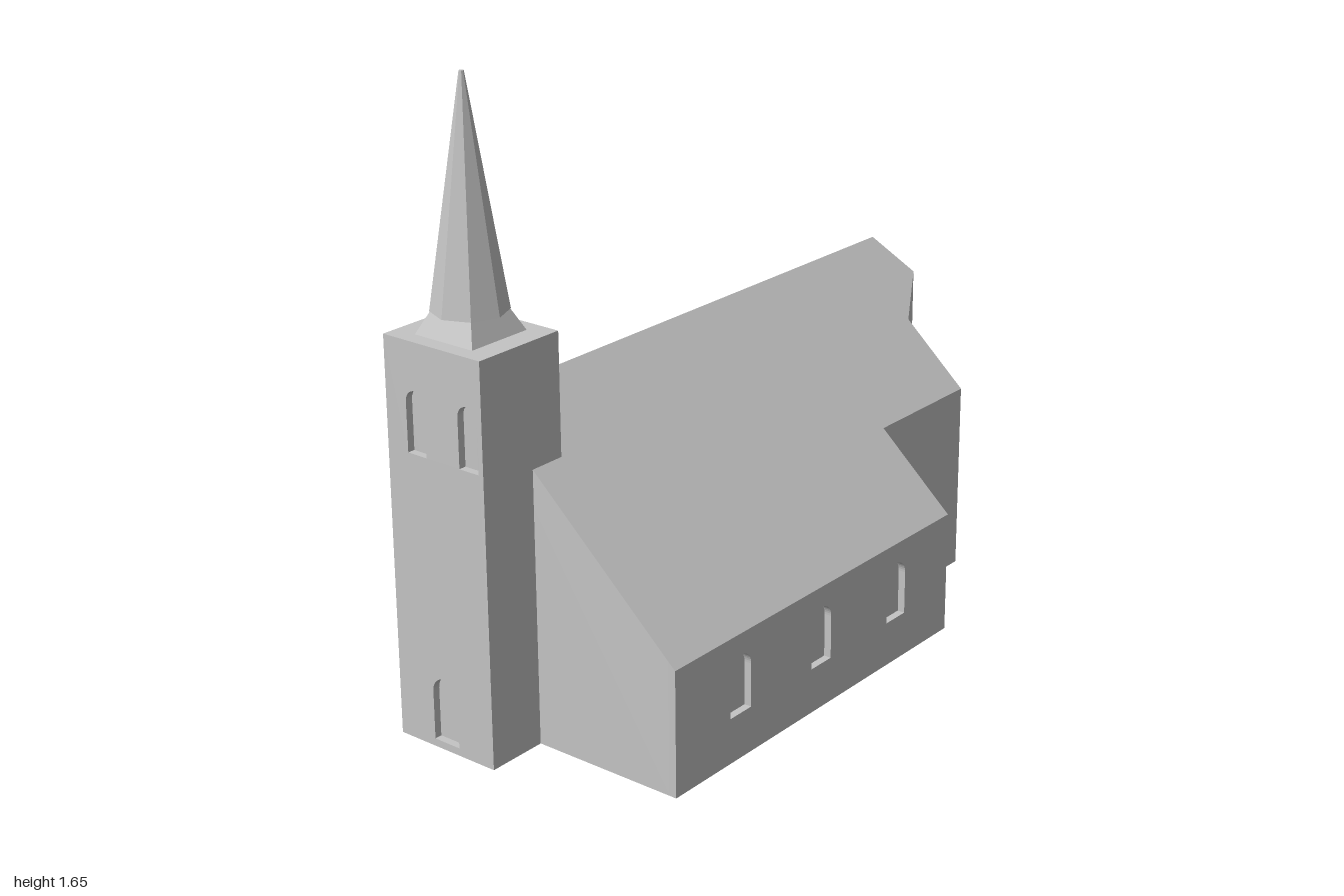
import * as THREE from 'three';

const stone = new THREE.MeshStandardMaterial({ color: 0xc4c4c4 });
stone.name = 'paleStone';

// Roof height of the nave: two slopes meeting at an off-centre ridge
const RIDGE = -0.105;
const roofY = (z) => z > RIDGE
  ? 0.865 - (z - RIDGE) * (0.535 / 0.585)
  : 0.865 - (RIDGE - z) * (0.325 / 0.225);

function part(group, name, geometry) {
  const m = new THREE.Mesh(geometry, stone);
  m.name = name;
  group.add(m);
  return m;
}

// Moves every vertex by a rule, then restores flat normals
function warp(geo, rule) {
  const p = geo.attributes.position, v = new THREE.Vector3();
  for (let i = 0; i < p.count; i++) {
    v.fromBufferAttribute(p, i);
    rule(v);
    p.setXYZ(i, v.x, v.y, v.z);
  }
  geo.computeVertexNormals();
  return geo;
}

// Upright prism on an (x, z) footprint with its top at top(z)
function prism(footprint, top) {
  const shape = new THREE.Shape(footprint.map(([x, z]) => new THREE.Vector2(x, -z)));
  const geo = new THREE.ExtrudeGeometry(shape, { depth: 1, bevelEnabled: false });
  geo.rotateX(-Math.PI / 2);
  return warp(geo, (v) => { v.y = v.y > 0.5 ? top(v.z) : 0; });
}

// Thin wall skin with round-arched openings [centre, bottom, top, width]
function wallSkin(u0, u1, height, openings) {
  const shape = new THREE.Shape();
  shape.moveTo(u0, 0).lineTo(u1, 0).lineTo(u1, height).lineTo(u0, height).closePath();
  for (const [c, y0, y1, w] of openings) {
    const r = w / 2, hole = new THREE.Path();
    hole.moveTo(c - r, y0).lineTo(c - r, y1 - r);
    hole.absarc(c, y1 - r, r, Math.PI, 0, true);
    hole.lineTo(c + r, y0).closePath();
    shape.holes.push(hole);
  }
  return new THREE.ExtrudeGeometry(shape, { depth: 0.02, bevelEnabled: false, curveSegments: 10 });
}

export function createModel() {
  const church = new THREE.Group();
  church.name = 'church';

  // Nave, stepped at the front right and angled at the east end
  part(church, 'naveFrontHalf', prism([
    [-0.835, 0.46], [0.295, 0.46], [0.295, 0.27], [0.67, 0.27], [0.67, 0.09],
    [0.825, 0], [0.77, RIDGE], [-0.835, RIDGE],
  ], roofY));
  part(church, 'naveBackHalf', prism([
    [-0.835, RIDGE], [0.77, RIDGE], [0.663, -0.31], [-0.835, -0.31],
  ], roofY));

  // Front wall with three low windows
  const front = wallSkin(-0.835, 0.295, 0.33,
    [-0.59, -0.265, 0.06].map((x) => [x, 0.12, 0.275, 0.08]));
  front.translate(0, 0, 0.46);
  part(church, 'frontWall', warp(front, (v) => { if (v.y > 0.329) v.y = roofY(v.z); }));

  // Back wall with five tall windows
  const back = wallSkin(-0.835, 0.65, 0.54,
    [-0.64, -0.35, -0.055, 0.24, 0.54].map((x) => [x, 0.31, 0.485, 0.085]));
  back.translate(0, 0, -0.33);
  part(church, 'backWall', warp(back, (v) => {
    if (v.y > 0.539) v.y = roofY(v.z);
    if (v.x > 0.649) v.x += (v.z + 0.33) * 0.65;
  }));

  // Tower with windows and doorway on its west face
  const tower = new THREE.Group();
  tower.name = 'tower';
  church.add(tower);
  part(tower, 'towerBody', prism(
    [[-0.98, 0.055], [-0.735, 0.055], [-0.735, -0.25], [-0.98, -0.25]], () => 1.035));
  const west = wallSkin(-0.25, 0.055, 1.035, [
    [-0.155, 0.755, 0.914, 0.06], [0.01, 0.755, 0.914, 0.06], [-0.0975, 0.02, 0.19, 0.08],
  ]);
  west.rotateY(-Math.PI / 2).translate(-0.98, 0, 0);
  part(tower, 'towerWestWall', west);

  // Flared foot and eight-sided spire
  const foot = new THREE.CylinderGeometry(0.065 * Math.SQRT2, 0.091 * Math.SQRT2, 0.055, 4)
    .rotateY(Math.PI / 4).toNonIndexed();
  foot.computeVertexNormals();
  part(tower, 'spireFoot', foot).position.set(-0.867, 1.0625, -0.0975);
  const spire = new THREE.CylinderGeometry(0.006, 0.094, 0.565, 8).toNonIndexed();
  spire.computeVertexNormals();
  part(tower, 'spire', spire).position.set(-0.867, 1.3725, -0.0975);

  // Flat-roofed annex behind the nave
  part(church, 'annex', prism(
    [[0.14, -0.32], [0.64, -0.32], [0.64, -0.4], [0.15, -0.485]], () => 0.212));

  // East chapel with a hipped roof
  part(church, 'chapelWalls', prism(
    [[0.8, 0.01], [0.9, 0.02], [1, -0.178], [0.65, -0.335]], () => 0.32));
  const A = [0.8, 0.32, 0.01], B = [0.9, 0.32, 0.02], C = [1, 0.32, -0.178],
    D = [0.65, 0.32, -0.335], P = [0.873, 0.47, -0.152], Q = [0.74, 0.47, -0.152];
  const roof = new THREE.BufferGeometry();
  roof.setAttribute('position', new THREE.Float32BufferAttribute(
    [A, B, P, A, P, Q, B, C, P, C, D, P, D, Q, P].flat(), 3));
  roof.computeVertexNormals();
  part(church, 'chapelRoof', roof);

  return church;
}
